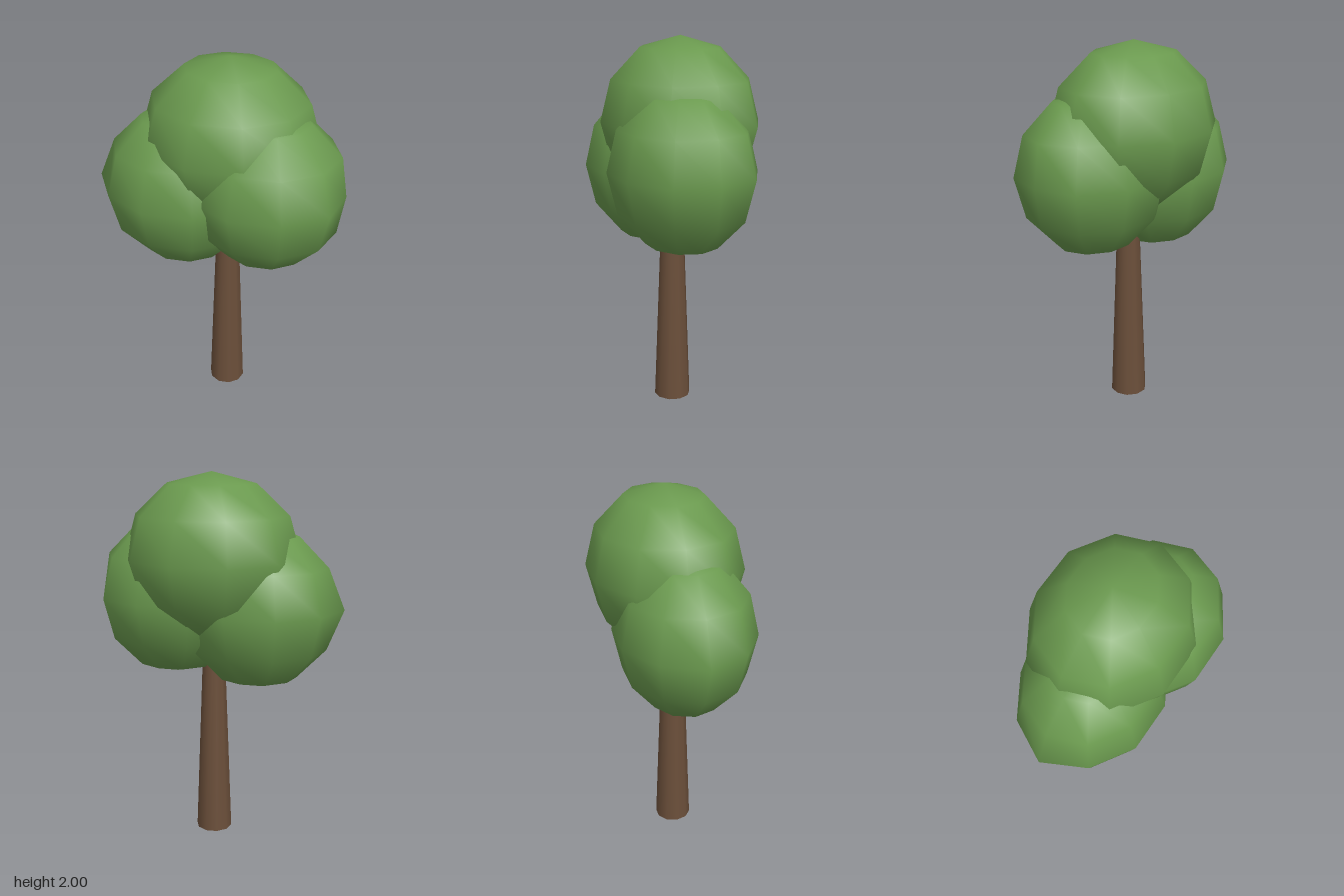
import * as THREE from 'three';

const leafMaterial = new THREE.MeshStandardMaterial({ color: 0x6a994e });
const barkMaterial = new THREE.MeshStandardMaterial({ color: 0x6b4f3a });

// Faceted ellipsoid clump; tip stretches the outermost equator point on one side
function leafClump(name, center, radii, side = 0, tip = 1) {
  const geometry = new THREE.SphereGeometry(1, 10, 6);
  const p = geometry.attributes.position;
  for (let i = 0; i < p.count; i++) {
    if (p.getX(i) * side > 0.99) p.setX(i, p.getX(i) * tip);
  }
  geometry.scale(...radii);
  const mesh = new THREE.Mesh(geometry, leafMaterial);
  mesh.name = name;
  mesh.position.set(...center);
  return mesh;
}

export function createModel() {
  const tree = new THREE.Group();
  tree.name = 'tree';

  // Tapered trunk running up into the foliage
  const height = 1.2;
  const trunk = new THREE.Mesh(new THREE.CylinderGeometry(0.055, 0.099, height, 10), barkMaterial);
  trunk.name = 'trunk';
  trunk.position.set(0.037, height / 2, 0.013);
  trunk.rotation.y = Math.PI / 2;

  // Three overlapping clumps
  const foliage = new THREE.Group();
  foliage.name = 'foliage';
  foliage.add(
    leafClump('topFoliage', [0.04, 1.56, -0.03], [0.47, 0.44, 0.41]),
    leafClump('rightFoliage', [-0.2, 1.29, 0.01], [0.43, 0.44, 0.371], -1, 1.07),
    leafClump('leftFoliage', [0.25, 1.34, 0.06], [0.43, 0.435, 0.379], 1, 0.945)
  );

  tree.add(trunk, foliage);
  return tree;
}
